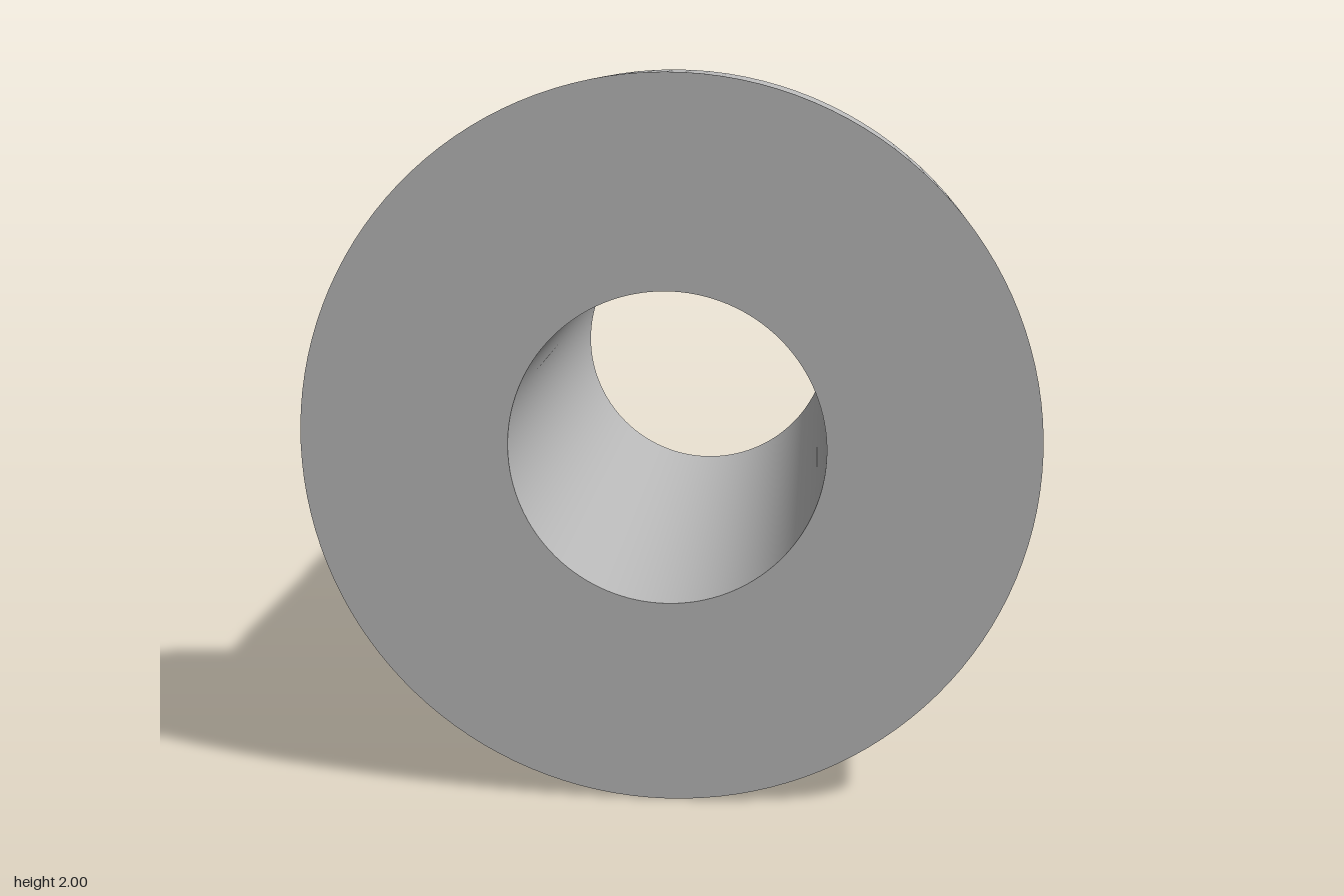
import * as THREE from 'three';
import { mergeGeometries } from 'three/addons/utils/BufferGeometryUtils.js';

const SEGMENTS = 128;

// Revolves each straight profile edge on its own, so corners stay sharp
// while the round walls stay smooth.
function revolve(profile) {
  const strips = [];
  for (let i = 0; i < profile.length - 1; i++) {
    const edge = [profile[i], profile[i + 1]].map(([r, z]) => new THREE.Vector2(r, z));
    strips.push(new THREE.LatheGeometry(edge, SEGMENTS));
  }
  return mergeGeometries(strips).rotateX(Math.PI / 2); // axis from y to z
}

export function createModel() {
  const group = new THREE.Group();
  group.name = 'flangedBushing';

  const metal = new THREE.MeshStandardMaterial({ color: 0xb8b8b8 });
  metal.name = 'grey metal';

  const bore = 0.43, sleeve = 0.714, flange = 1;
  const back = -0.857, step = 0.573, front = 0.857;

  // Each surface group is an open strip of the same closed outline.
  const parts = {
    sleeve: [[bore, back], [sleeve, back], [sleeve, step]],
    flange: [[sleeve, step], [flange, step], [flange, front], [bore, front]],
    bore: [[bore, front], [bore, back]],
  };
  for (const [name, profile] of Object.entries(parts)) {
    const mesh = new THREE.Mesh(revolve(profile), metal);
    mesh.name = name;
    mesh.position.y = flange; // rests on the flange rim
    group.add(mesh);
  }
  return group;
}
